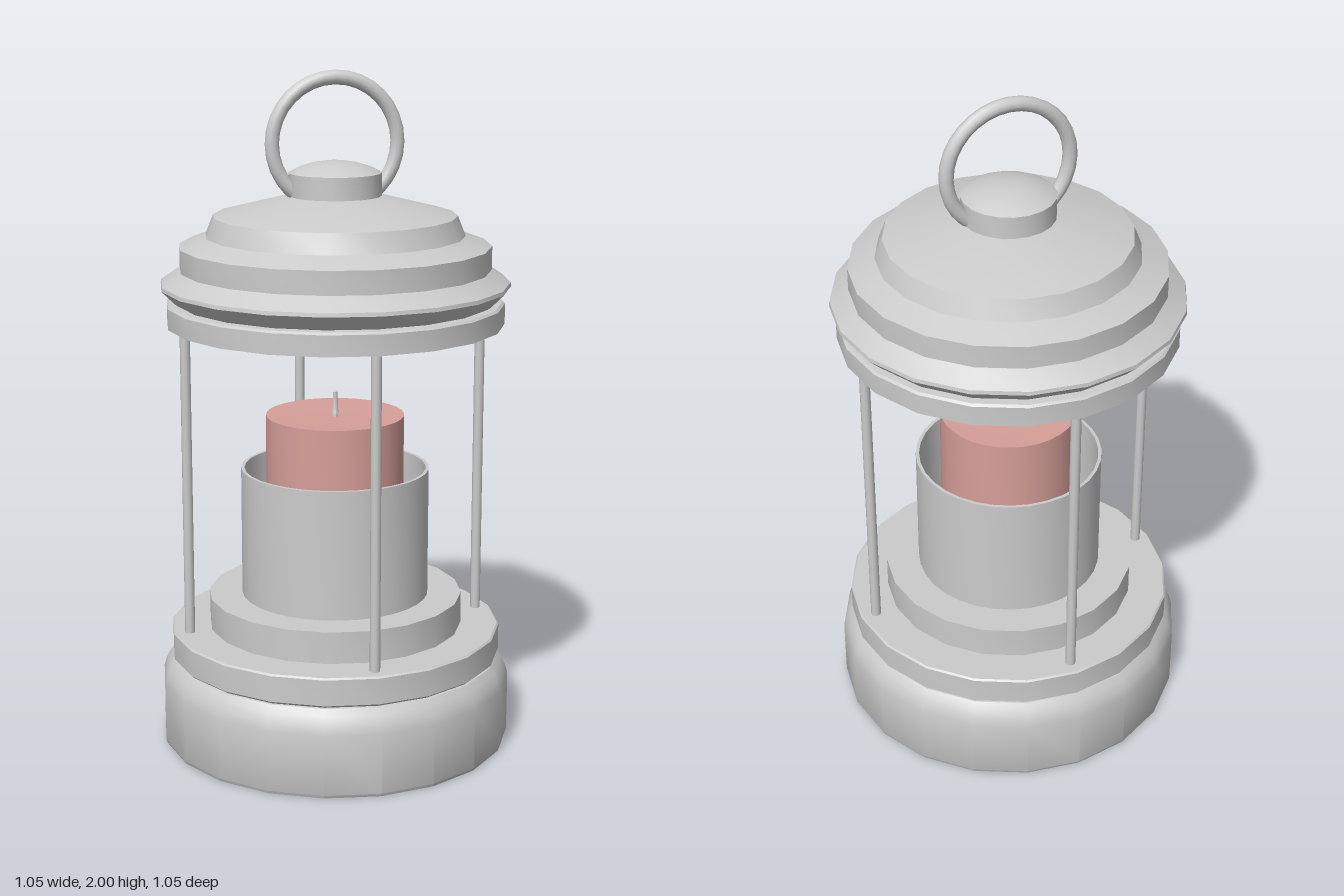
import * as THREE from 'three';
import { toCreasedNormals } from 'three/addons/utils/BufferGeometryUtils.js';

const metal = new THREE.MeshStandardMaterial({ color: 0xcccccc });
const wax = new THREE.MeshStandardMaterial({ color: 0xd79f99 });

export function createModel() {
  const lantern = new THREE.Group();
  lantern.name = 'lantern';

  const add = (name, geometry, material = metal) => {
    const mesh = new THREE.Mesh(geometry, material);
    mesh.name = name;
    lantern.add(mesh);
    return mesh;
  };
  // Turned part from [radius, height] pairs, with crisp edges
  const turned = (name, profile, sides = 20, material = metal) => {
    const points = profile.map(([r, y]) => new THREE.Vector2(r, y));
    return add(name, toCreasedNormals(new THREE.LatheGeometry(points, sides), 0.5), material);
  };

  // Base with rounded shoulder
  turned('base', [
    [0, 0], [0.52, 0], [0.525, 0.01], [0.525, 0.19], [0.518, 0.215],
    [0.506, 0.24], [0.49, 0.258], [0.47, 0.262], [0, 0.262],
  ]);
  turned('baseRing', [[0, 0.26], [0.485, 0.26], [0.495, 0.268], [0.495, 0.345], [0.49, 0.35], [0, 0.35]]);
  turned('plinth', [[0, 0.35], [0.38, 0.35], [0.38, 0.445], [0, 0.445]]);

  // Open candle cup
  turned('candleCup', [
    [0.28, 0.445], [0.28, 0.832], [0.27, 0.832], [0.27, 0.46], [0, 0.46],
  ], 32);

  // Candle and wick
  turned('candle', [[0, 0.46], [0.205, 0.46], [0.205, 0.992], [0, 0.985]], 32, wax);
  turned('wick', [[0.011, 0.98], [0.011, 1.0], [0.007, 1.01], [0.007, 1.06], [0, 1.065]], 8);

  // Four posts
  for (let i = 0; i < 4; i++) {
    const angle = (i * Math.PI) / 2;
    const post = add('post', new THREE.CylinderGeometry(0.015, 0.015, 0.94, 10));
    post.position.set(0.447 * Math.sin(angle), 0.81, 0.447 * Math.cos(angle));
  }

  // Hollow stepped lid: ceiling, inner wall, then outside up to the knob
  turned('lid', [
    [0, 1.49], [0.415, 1.49], [0.415, 1.27], [0.495, 1.27], [0.495, 1.33], [0.488, 1.336],
    [0.465, 1.338], [0.475, 1.345], [0.512, 1.382], [0.51, 1.393], [0.455, 1.43],
    [0.455, 1.498], [0.378, 1.527], [0.355, 1.585], [0.135, 1.642], [0, 1.645],
  ]);
  turned('knob', [
    [0.135, 1.635], [0.135, 1.708], [0.105, 1.723], [0.07, 1.734], [0.035, 1.74], [0, 1.742],
  ]);

  // Carrying ring through the knob
  add('handleRing', new THREE.TorusGeometry(0.186, 0.021, 12, 32)).position.y = 1.793;

  return lantern;
}
